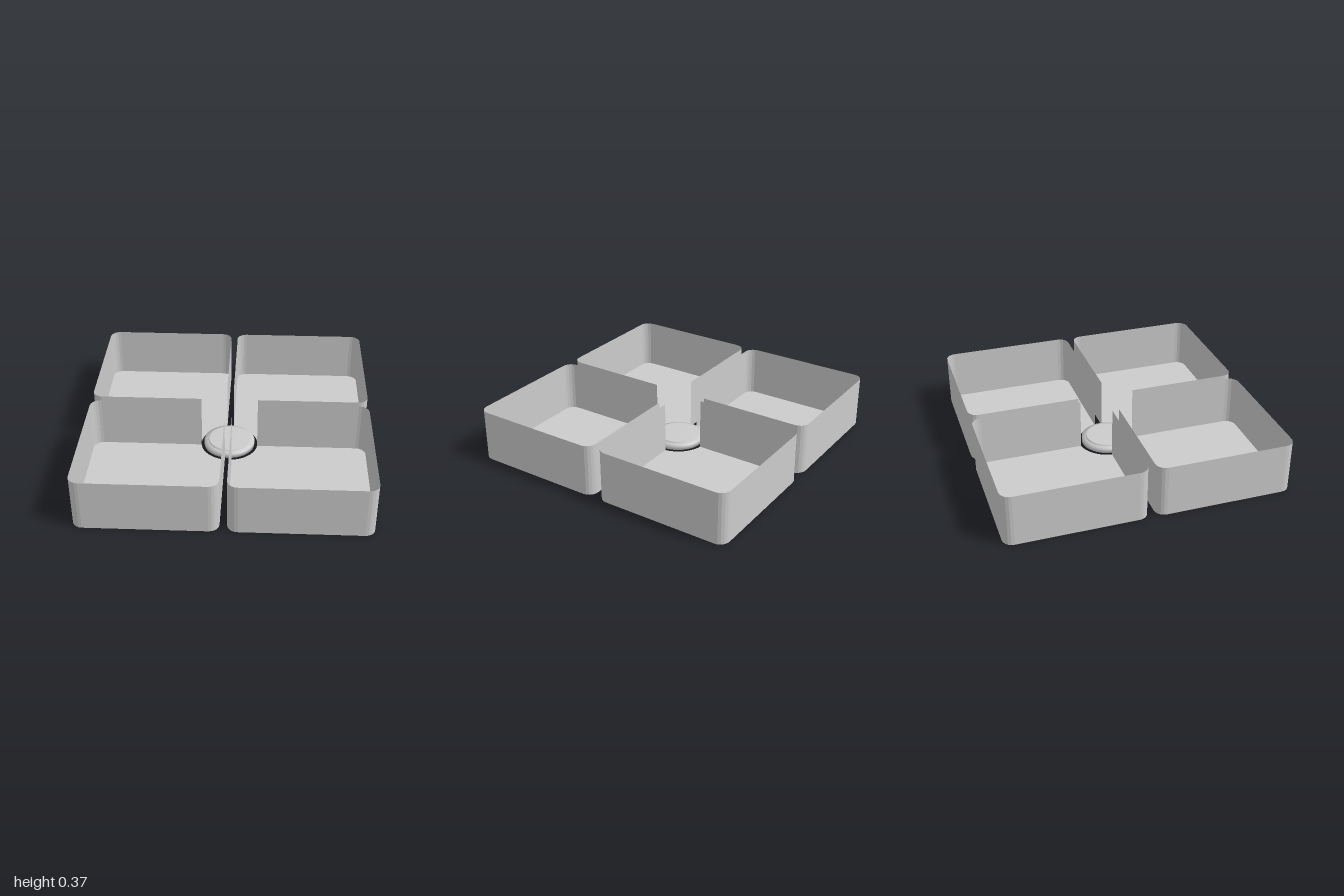
import * as THREE from 'three';

const GAP = 0.025;     // half the slot between neighbouring trays
const CUT = 0.207;     // radius of the round cut at the centre
const CORNER = 0.07;   // corner rounding
const HEIGHT = 0.37;

const material = new THREE.MeshStandardMaterial({ color: 0xcccccc, side: THREE.DoubleSide });

// Points along an arc in the (x, z) plane
function arc(cx, cz, r, from, to, n) {
  return Array.from({ length: n + 1 }, (_, i) => {
    const a = from + ((to - from) * i) / n;
    return new THREE.Vector2(cx + r * Math.cos(a), cz + r * Math.sin(a));
  });
}

// Upright sheet following an open line
function wallGeometry(line) {
  const positions = [];
  for (let i = 0; i < line.length - 1; i++) {
    const a = line[i], b = line[i + 1];
    const quad = [[a, 0], [b, HEIGHT], [b, 0], [a, 0], [a, HEIGHT], [b, HEIGHT]];
    quad.forEach(([p, y]) => positions.push(p.x, y, p.y));
  }
  const geometry = new THREE.BufferGeometry();
  geometry.setAttribute('position', new THREE.Float32BufferAttribute(positions, 3));
  geometry.computeVertexNormals();
  return geometry;
}

function mesh(name, geometry) {
  const m = new THREE.Mesh(geometry, material);
  m.name = name;
  return m;
}

export function createModel() {
  const model = new THREE.Group();
  model.name = 'dividedTray';

  // Wall line: three rounded corners, open towards the centre
  const lo = GAP + CORNER, hi = 1 - CORNER, q = Math.PI / 2;
  const reach = Math.sqrt(CUT * CUT - GAP * GAP);
  const wallLine = [
    new THREE.Vector2(reach, GAP),
    ...arc(hi, lo, CORNER, -q, 0, 5),
    ...arc(hi, hi, CORNER, 0, q, 5),
    ...arc(lo, hi, CORNER, q, 2 * q, 5),
    new THREE.Vector2(GAP, reach),
  ];
  const wall = wallGeometry(wallLine);

  // Floor: the same outline closed by the round cut
  const edge = Math.asin(GAP / CUT);
  const cut = arc(0, 0, CUT, q - edge, edge, 14).slice(1, -1);
  const floor = new THREE.ShapeGeometry(new THREE.Shape([...wallLine, ...cut]));
  floor.scale(1, 1, -1).rotateX(q);

  // Four trays around the centre
  for (let i = 0; i < 4; i++) {
    const tray = new THREE.Group();
    tray.name = `tray${i + 1}`;
    tray.add(mesh('trayWall', wall), mesh('trayFloor', floor));
    tray.rotation.y = i * q;
    model.add(tray);
  }

  // Central knob: flange, raised bevelled top and hollow underside
  const profile = [
    [0, 0.03], [0.148, 0.03], [0.148, 0], [0.185, 0], [0.185, 0.035],
    [0.155, 0.035], [0.155, 0.044], [0.148, 0.05], [0, 0.05],
  ].map(([r, y]) => new THREE.Vector2(r, y));
  model.add(mesh('centreKnob', new THREE.LatheGeometry(profile, 48)));

  return model;
}
